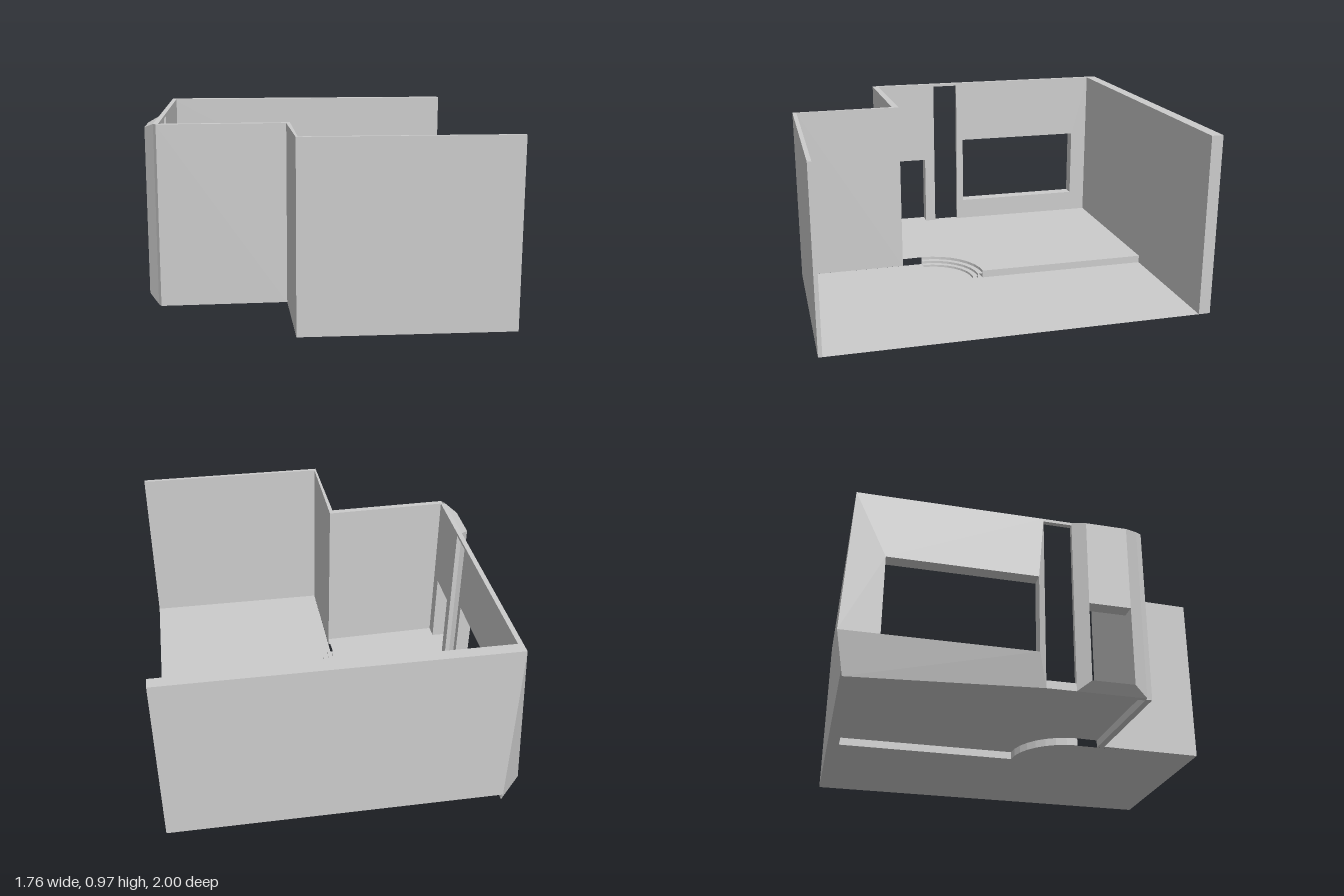
import * as THREE from 'three';

const material = new THREE.MeshStandardMaterial({ color: 0xcccccc, flatShading: true, side: THREE.DoubleSide });
const BASE = 0.04, DECK = 0.08, TOP = 0.965;
const INNER = -0.81, OUTER = -0.835, WINDOW_X = -0.88, BAY_X = -0.885;

// Plan outlines are lists of [x, z]
const planShape = (pts) => new THREE.Shape(pts.map(([x, z]) => new THREE.Vector2(x, -z)));

function add(group, name, geometry) {
  const mesh = new THREE.Mesh(geometry, material);
  mesh.name = name;
  group.add(mesh);
  return mesh;
}

// Solid wall raised from a plan outline
function wall(group, name, pts) {
  const g = new THREE.ExtrudeGeometry(planShape(pts), { depth: TOP - BASE, bevelEnabled: false });
  add(group, name, g.rotateX(-Math.PI / 2)).position.y = BASE;
}

// Horizontal sheet from a plan outline
function sheet(group, name, pts, y) {
  add(group, name, new THREE.ShapeGeometry(planShape(pts)).rotateX(-Math.PI / 2)).position.y = y;
}

// Surface from convex polygons, each a list of [x, y, z]
function faces(group, name, polygons) {
  const pos = [];
  for (const p of polygons) {
    for (let i = 1; i < p.length - 1; i++) pos.push(...p[0], ...p[i], ...p[i + 1]);
  }
  const g = new THREE.BufferGeometry();
  g.setAttribute('position', new THREE.Float32BufferAttribute(pos, 3));
  g.computeVertexNormals();
  add(group, name, g);
}

// Vertical strip that follows a plan path
function riser(group, name, path, y0, y1) {
  faces(group, name, path.slice(1).map(([x, z], i) => {
    const [px, pz] = path[i];
    return [[px, y0, pz], [x, y0, z], [x, y1, z], [px, y1, pz]];
  }));
}

// Rectangle in a plane of constant x, starting at the back top corner
const rect = (x, z0, z1, y0, y1) => [[x, y1, z0], [x, y0, z0], [x, y0, z1], [x, y1, z1]];

// Four faces joining two rectangles
const ring = (a, b) => a.map((p, i) => {
  const j = (i + 1) % 4;
  return [p, a[j], b[j], b[i]];
});

// Quarter circle of the corner steps, from the deck edge round to the jog wall
const arc = (r) => Array.from({ length: 9 }, (_, i) => {
  const t = (i / 8) * Math.PI / 2;
  return [0.125 - r * Math.sin(t), 0.32 - r * Math.cos(t)];
});

export function createModel() {
  const model = new THREE.Group();
  model.name = 'room';

  // Back wall, and the stepped front wall
  wall(model, 'backWall', [[OUTER, -0.965], [0.875, -0.965], [0.875, -0.905], [OUTER, -0.905]]);
  wall(model, 'frontWall', [[-0.82, 0.45], [-0.16, 0.43], [-0.155, 0.98], [0.875, 0.98],
    [0.875, 1], [-0.165, 1], [-0.18, 0.465], [-0.82, 0.48]]);

  // Floors and curved corner steps
  const edge = arc(0.29);
  sheet(model, 'raisedFloor', [[INNER, -0.905], [0.125, -0.905], ...edge, [-0.16, 0.43], [INNER, 0.45]], DECK);
  riser(model, 'raisedFloorEdge', [[0.125, -0.905], ...edge], BASE, DECK);
  sheet(model, 'lowerFloor', [[0.125, -0.905], [0.875, -0.905], [0.875, 0.98], [-0.155, 0.98],
    [-0.16, 0.32], ...edge.slice().reverse()], BASE);
  [[0.29, 0.262, 0.065], [0.262, 0.235, 0.052]].forEach(([r0, r1, y]) => {
    sheet(model, 'stepTread', [...arc(r0), ...arc(r1).reverse()], y);
    riser(model, 'stepRiser', arc(r1), BASE, y);
  });

  // Side wall with a window, a tall slot and a low opening: [z0, z1, y0, y1]
  const windowHole = [-0.81, -0.08, 0.2, 0.6];
  const slotHole = [-0.04, 0.105, DECK, 0.95];
  const lowHole = [0.165, 0.375, DECK, 0.485];
  const side = new THREE.Group();
  side.name = 'sideWall';
  model.add(side);

  const inner = new THREE.Shape([[0.905, BASE], [-0.45, BASE], [-0.45, TOP], [0.905, TOP]]
    .map(([a, b]) => new THREE.Vector2(a, b)));
  for (const [z0, z1, y0, y1] of [windowHole, slotHole, lowHole]) {
    inner.holes.push(new THREE.Path([[-z0, y0], [-z0, y1], [-z1, y1], [-z1, y0]]
      .map(([a, b]) => new THREE.Vector2(a, b))));
  }
  add(side, 'innerFace', new THREE.ShapeGeometry(inner).rotateY(Math.PI / 2)).position.x = INNER;

  // Reveals around the openings
  [[windowHole, WINDOW_X], [slotHole, OUTER], [lowHole, BAY_X]].forEach(([h, x]) =>
    faces(side, 'openingReveal', ring(rect(x, ...h), rect(INNER, ...h))));

  // Sloped window surround with a pointed back corner
  const w = rect(WINDOW_X, ...windowHole);
  const cell = rect(OUTER, -0.965, -0.04, BASE, TOP);
  cell[1] = [-0.83, 0, -0.96];
  const point = [-0.88, 0.2, -1];
  faces(side, 'windowSurround', [
    ...ring(cell, w).slice(1),
    [cell[0], point, w[0]], [w[0], point, w[1]], [w[1], point, cell[1]],
    [cell[1], point, cell[0]],
  ]);

  // Strips above and below the tall slot
  faces(side, 'slotSurround', [
    rect(OUTER, -0.04, 0.105, BASE, DECK),
    rect(OUTER, -0.04, 0.105, 0.95, TOP),
  ]);

  // Chamfered bay above and around the low opening
  faces(side, 'bay', [
    ...ring(rect(OUTER, 0.105, 0.45, BASE, TOP), rect(BAY_X, 0.165, 0.375, DECK, 0.94)),
    rect(BAY_X, 0.165, 0.375, 0.485, 0.94),
  ]);

  // Top, bottom and front end of the side wall
  const corners = (y) => [[OUTER, y, -0.905], [INNER, y, -0.905], [INNER, y, 0.45], [OUTER, y, 0.45]];
  faces(side, 'wallCaps', [
    corners(TOP), corners(BASE),
    [[OUTER, BASE, 0.45], [-0.82, BASE, 0.48], [-0.82, TOP, 0.48], [OUTER, TOP, 0.45]],
  ]);

  return model;
}
